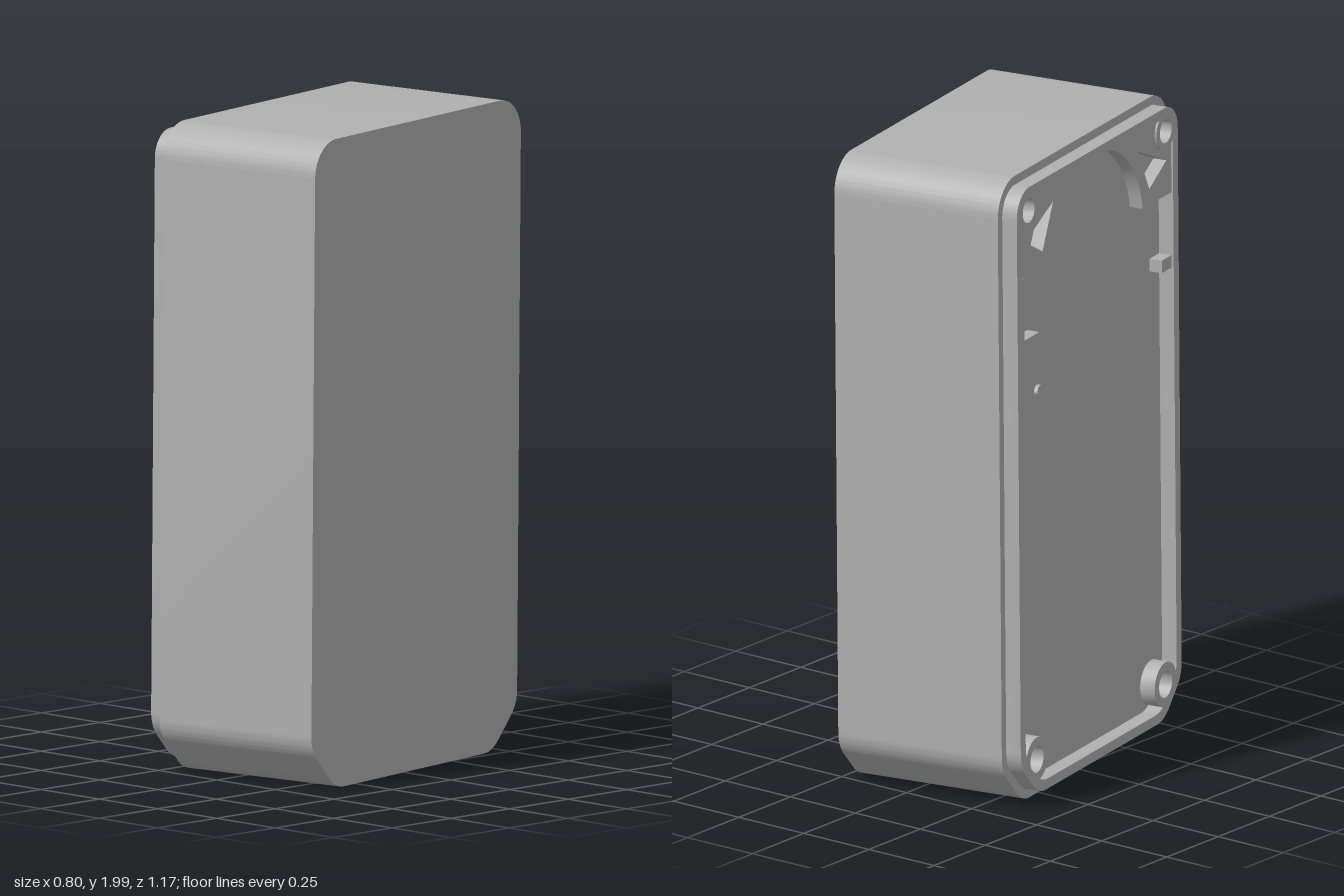
import * as THREE from 'three';
import { toCreasedNormals } from 'three/addons/utils/BufferGeometryUtils.js';

const H = 1.99, HALF = 0.541;             // shell height and half depth
const BACK = 0.302, FLOOR = -0.258, RIM = -0.308; // planes across the thickness

// Case outline: round top corners, softened chamfers at the bottom
function outline(Type, inset) {
  const w = HALF - inset, t = H - inset, b = inset;
  const r = 0.11 - inset, c = 0.13 - 0.586 * inset, k = 0.045;
  const s = new Type();
  s.moveTo(-w + c + k, b);
  s.lineTo(w - c - k, b);
  s.quadraticCurveTo(w - c, b, w - c + k * 0.7, b + k * 0.7);
  s.lineTo(w - k * 0.7, b + c - k * 0.7);
  s.quadraticCurveTo(w, b + c, w, b + c + k);
  s.lineTo(w, t - r);
  s.absarc(w - r, t - r, r, 0, Math.PI / 2, false);
  s.lineTo(-w + r, t);
  s.absarc(-w + r, t - r, r, Math.PI / 2, Math.PI, false);
  s.lineTo(-w, b + c + k);
  s.quadraticCurveTo(-w, b + c, -w + k * 0.7, b + c - k * 0.7);
  s.lineTo(-w + c - k * 0.7, b + k * 0.7);
  s.quadraticCurveTo(-w + c, b, -w + c + k, b);
  return s;
}

function circlePath(x, y, r) {
  return new THREE.Path().absarc(x, y, r, 0, Math.PI * 2, true);
}

function polygon(Type, points) {
  return new Type(points.map(([x, y]) => new THREE.Vector2(x, y)));
}

function arcPoints(cx, cy, r, from, to, n) {
  return Array.from({ length: n + 1 }, (_, i) => {
    const a = from + (to - from) * i / n;
    return [cx + r * Math.cos(a), cy + r * Math.sin(a)];
  });
}

export function createModel() {
  const model = new THREE.Group();
  model.name = 'caseShell';
  const grey = new THREE.MeshStandardMaterial({ color: 0xb0b0b0 });
  grey.name = 'greyPlastic';

  const shell = new THREE.Group();
  shell.name = 'tiltedShell';
  shell.position.y = 1;
  shell.rotation.set(0, 0.176, -0.008);
  model.add(shell);

  // Extrude a side-on shape between two planes across the thickness
  function slab(name, shape, from, to) {
    let g = new THREE.ExtrudeGeometry(shape, { depth: to - from, bevelEnabled: false, curveSegments: 12 });
    g.translate(0, -H / 2, -to);
    g.rotateY(-Math.PI / 2);
    g = toCreasedNormals(g, 0.6);
    const mesh = new THREE.Mesh(g, grey);
    mesh.name = name;
    shell.add(mesh);
  }
  const box = (x0, x1, y0, y1) => polygon(THREE.Shape, [[x0, y0], [x1, y0], [x1, y1], [x0, y1]]);

  // Main body and the stepped rim around the recess
  slab('body', outline(THREE.Shape, 0), FLOOR, BACK);
  const rim = outline(THREE.Shape, 0.028);
  rim.holes.push(outline(THREE.Path, 0.06));
  slab('rim', rim, RIM, FLOOR);

  for (const s of [-1, 1]) {
    // Screw bosses
    for (const [x, y, r, hole] of [[0.437, 1.888, 0.06, 0.038], [0.41, 0.14, 0.07, 0.042]]) {
      const boss = new THREE.Shape().absarc(s * x, y, r, 0, Math.PI * 2, false);
      boss.holes.push(circlePath(s * x, y, hole));
      slab('screwBoss', boss, RIM, FLOOR);
    }

    // Arched corner gusset with a screw hole and a triangular pocket
    const flip = ([x, y]) => [s * x, y];
    const gusset = polygon(THREE.Shape, [
      [0.49, 1.68],
      ...arcPoints(0.432, 1.88, 0.06, 0, Math.PI / 2, 6),
      [0, 1.945],
      ...arcPoints(0, 1.64, 0.3, Math.PI / 2, 0.134, 14),
    ].map(flip));
    gusset.holes.push(circlePath(s * 0.437, 1.888, 0.045));
    gusset.holes.push(polygon(THREE.Path, [[0.45, 1.79], [0.34, 1.73], [0.27, 1.87]].map(flip)));
    slab('archGusset', gusset, RIM + 0.006, FLOOR);
  }

  // Locating ribs, wall pad and small peg
  slab('rearRib', box(-0.485, -0.36, 1.44, 1.48), RIM + 0.008, FLOOR);
  slab('frontRib', box(0.42, 0.485, 1.44, 1.48), RIM + 0.008, FLOOR);
  slab('wallPad', box(-0.485, -0.465, 1.48, 1.68), RIM + 0.003, FLOOR);
  const peg = new THREE.Shape().absarc(-0.3, 1.27, 0.02, 0, Math.PI * 2, false);
  slab('peg', peg, FLOOR - 0.012, FLOOR);

  return model;
}
